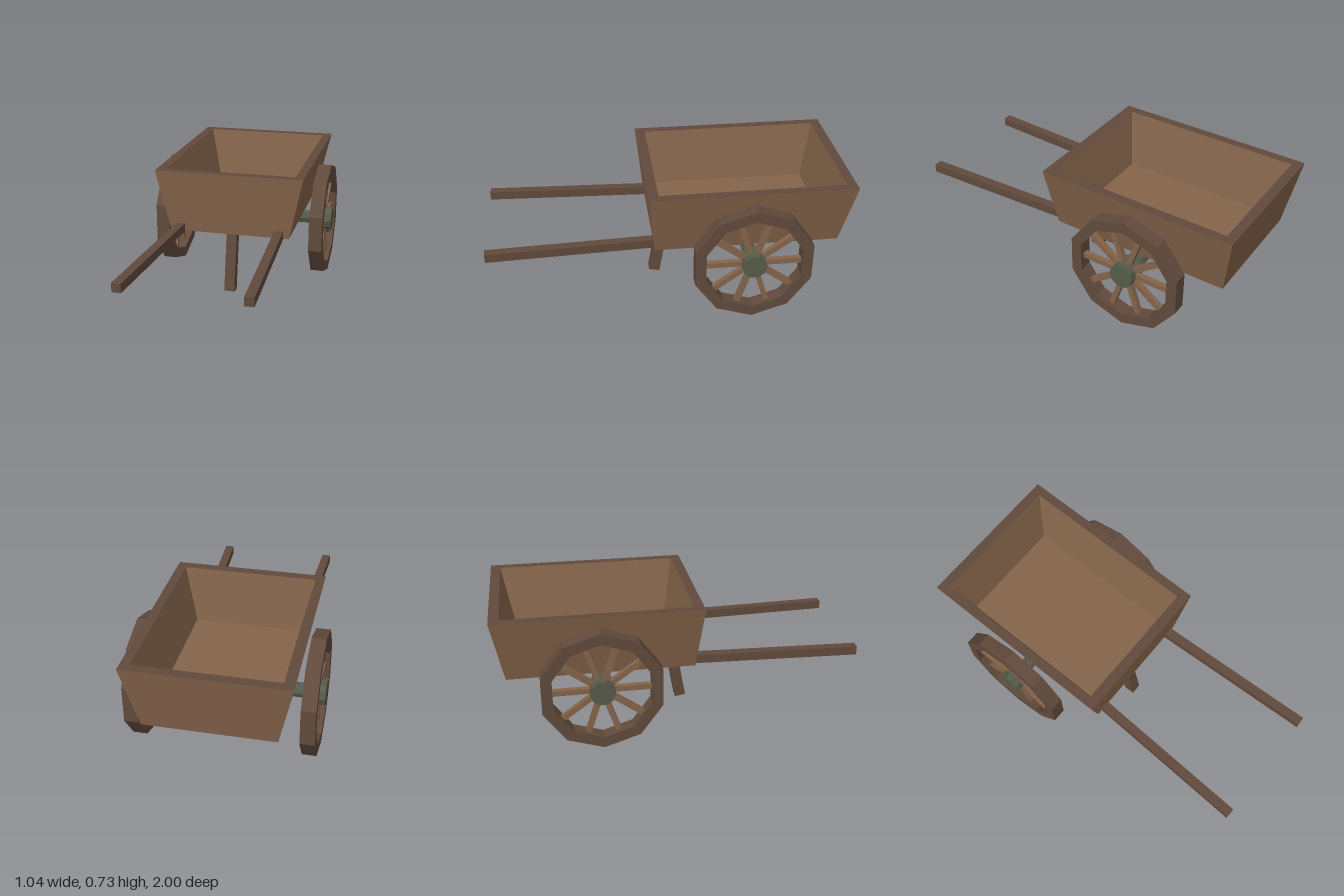
import * as THREE from 'three';

const wood = new THREE.MeshStandardMaterial({ color: 0x84644a });
wood.name = 'tan wood';
const darkWood = new THREE.MeshStandardMaterial({ color: 0x614a3c });
darkWood.name = 'dark wood';
const iron = new THREE.MeshStandardMaterial({ color: 0x555b49 });
iron.name = 'green iron';

const AXLE_Y = 0.342, AXLE_Z = -0.44;

function part(name, geometry, material) {
  const mesh = new THREE.Mesh(geometry, material);
  mesh.name = name;
  return mesh;
}

// Faceted cylinder lying along x, with a corner pointing up
function faceted(radius, length, sides) {
  const geo = new THREE.CylinderGeometry(radius, radius, length, sides).toNonIndexed();
  geo.rotateZ(Math.PI / 2);
  geo.computeVertexNormals();
  return geo;
}

// Rectangular loop of corners, anticlockwise seen from above
function loop(halfWidth, y, front, back) {
  return [[halfWidth, y, front], [halfWidth, y, back], [-halfWidth, y, back], [-halfWidth, y, front]];
}

// Flat quads, each given by four corners
function quads(list) {
  const points = list.flatMap(([a, b, c, d]) => [a, b, c, a, c, d]).flat();
  const geo = new THREE.BufferGeometry();
  geo.setAttribute('position', new THREE.Float32BufferAttribute(points, 3));
  geo.computeVertexNormals();
  return geo;
}

// Four quads joining one loop to the next
function band(from, to) {
  return from.map((p, i) => [p, from[(i + 1) % 4], to[(i + 1) % 4], to[i]]);
}

// Flared open tray with a dark flat rim
function makeTray() {
  const tray = new THREE.Group();
  tray.name = 'tray';
  const base = loop(0.346, 0.377, 0.082, -0.938);
  const outerTop = loop(0.424, 0.737, 0.12, -1);
  const innerTop = loop(0.374, 0.737, 0.065, -0.946);
  const floor = loop(0.302, 0.43, 0.012, -0.882);
  tray.add(
    part('trayOutside', quads([...band(base, outerTop), [...base].reverse()]), wood),
    part('trayInside', quads([...band(innerTop, floor), floor]), wood),
    part('trayRim', quads(band(outerTop, innerTop)), darkWood)
  );
  return tray;
}

function decagon(target, radius) {
  for (let i = 0; i < 10; i++) {
    const a = Math.PI / 2 + i * Math.PI / 5;
    target[i ? 'lineTo' : 'moveTo'](radius * Math.cos(a), radius * Math.sin(a));
  }
  target.closePath();
  return target;
}

// Ten-sided wheel with a spoke to the middle of each rim section
function makeWheel(name) {
  const wheel = new THREE.Group();
  wheel.name = name;
  const shape = decagon(new THREE.Shape(), 0.337);
  shape.holes.push(decagon(new THREE.Path(), 0.275));
  const rim = new THREE.ExtrudeGeometry(shape, { depth: 0.078, bevelEnabled: false });
  rim.translate(0, 0, -0.039);
  rim.rotateY(Math.PI / 2);
  wheel.add(part('wheelRim', rim, darkWood));
  wheel.add(part('hub', faceted(0.069, 0.11, 10), iron));
  for (let i = 0; i < 10; i++) {
    const spoke = new THREE.BoxGeometry(0.03, 0.03, 0.225);
    spoke.translate(0, 0, 0.1575);
    const mesh = part('spoke', spoke, wood);
    mesh.rotation.x = i * Math.PI / 5;
    wheel.add(mesh);
  }
  return wheel;
}

export function createModel() {
  const cart = new THREE.Group();
  cart.name = 'handcart';
  cart.add(makeTray());

  // Axle under the tray
  const axle = part('axle', faceted(0.04, 0.92, 8), iron);
  axle.position.set(0, AXLE_Y, AXLE_Z);
  cart.add(axle);

  // Wheels and splayed handles on both sides
  for (const [side, s] of [['left', 1], ['right', -1]]) {
    const wheel = makeWheel(side + 'Wheel');
    wheel.position.set(s * 0.465, AXLE_Y, AXLE_Z);
    cart.add(wheel);

    const handle = part(side + 'Handle', new THREE.BoxGeometry(0.05, 0.049, 1.62), darkWood);
    handle.position.set(s * 0.293, 0.3975, 0.19);
    handle.rotation.y = s * 0.0457;
    cart.add(handle);
  }

  // Slanted prop leg
  const leg = part('propLeg', new THREE.BoxGeometry(0.06, 0.385, 0.062), darkWood);
  leg.position.set(0, 0.208, 0.021);
  leg.rotation.x = -0.174;
  cart.add(leg);

  // Set the wheels on the ground
  cart.position.y = -0.005;
  return cart;
}
